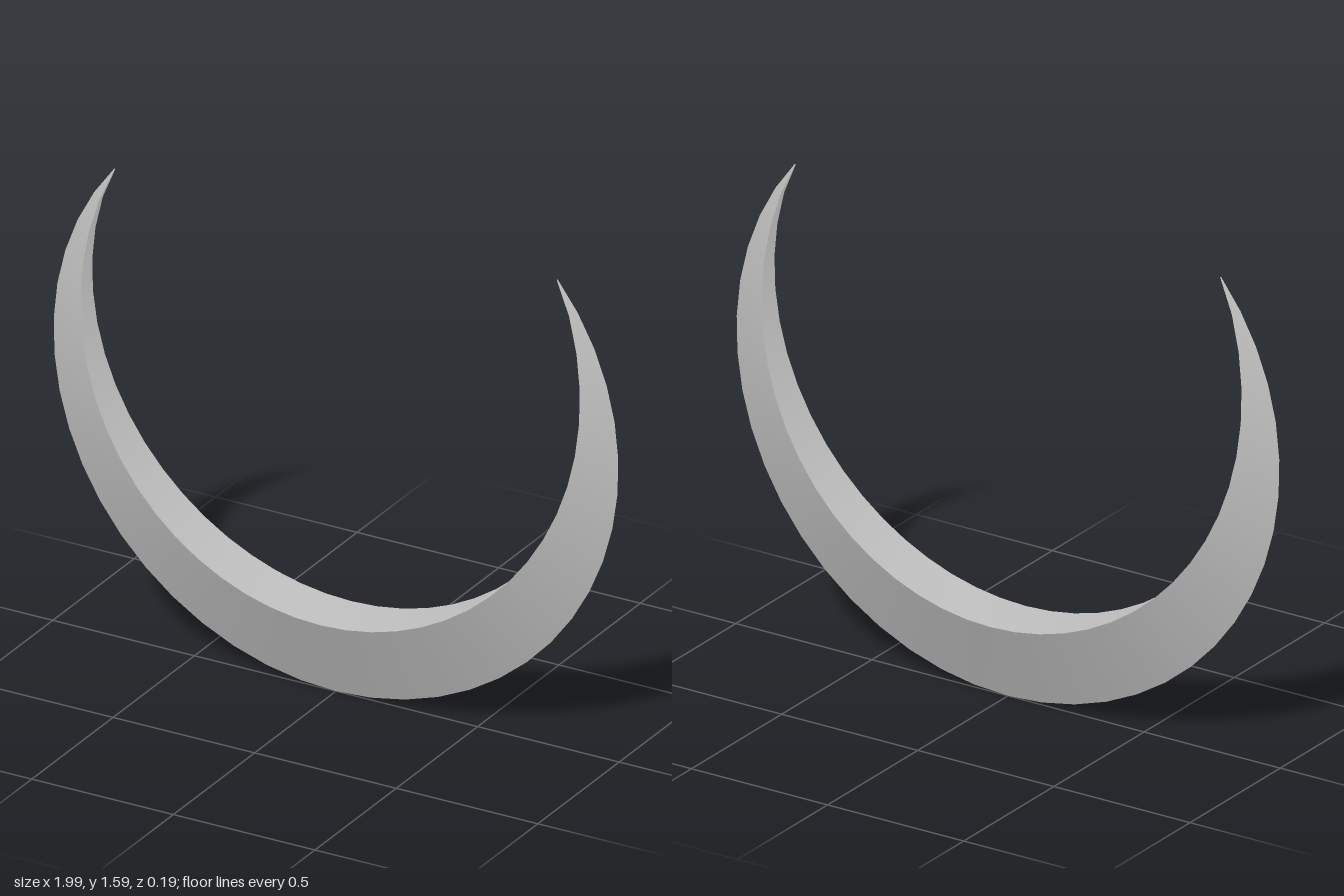
import * as THREE from 'three';

const TIP_ANGLE = THREE.MathUtils.degToRad(127); // measured from the lowest point
const WIDTH = 0.265; // radial width at the lowest point
const HALF_DEPTH = 0.0975; // rim distance from the keel at the lowest point

// One curved wall: a strip bent into a crescent, from the keel to the inner rim
function crescentWall() {
  const geometry = new THREE.PlaneGeometry(2, 1, 36, 1);
  const pos = geometry.attributes.position;
  for (let i = 0; i < pos.count; i++) {
    const t = pos.getX(i); // -1 .. 1 from tip to tip
    const inward = pos.getY(i) + 0.5; // 0 at the keel, 1 at the rim
    const taper = Math.max(1 - t * t, 0.012);
    const radius = 1 - 0.02 * t ** 6 - WIDTH * taper * inward;
    const angle = t * TIP_ANGLE;
    pos.setXYZ(
      i,
      radius * Math.sin(angle),
      1 - radius * Math.cos(angle),
      HALF_DEPTH * taper * inward
    );
  }
  geometry.computeVertexNormals();
  return geometry;
}

export function createModel() {
  const model = new THREE.Group();
  model.name = 'crescent';
  const grey = new THREE.MeshStandardMaterial({ color: 0xc0c0c0, side: THREE.DoubleSide });
  grey.name = 'grey';

  // Front and back walls meet at the sharp outer keel and leave the inside open
  const wall = crescentWall();
  const frontWall = new THREE.Mesh(wall, grey);
  frontWall.name = 'frontWall';
  const backWall = new THREE.Mesh(wall, grey);
  backWall.name = 'backWall';
  backWall.rotation.y = Math.PI;
  model.add(frontWall, backWall);
  return model;
}
